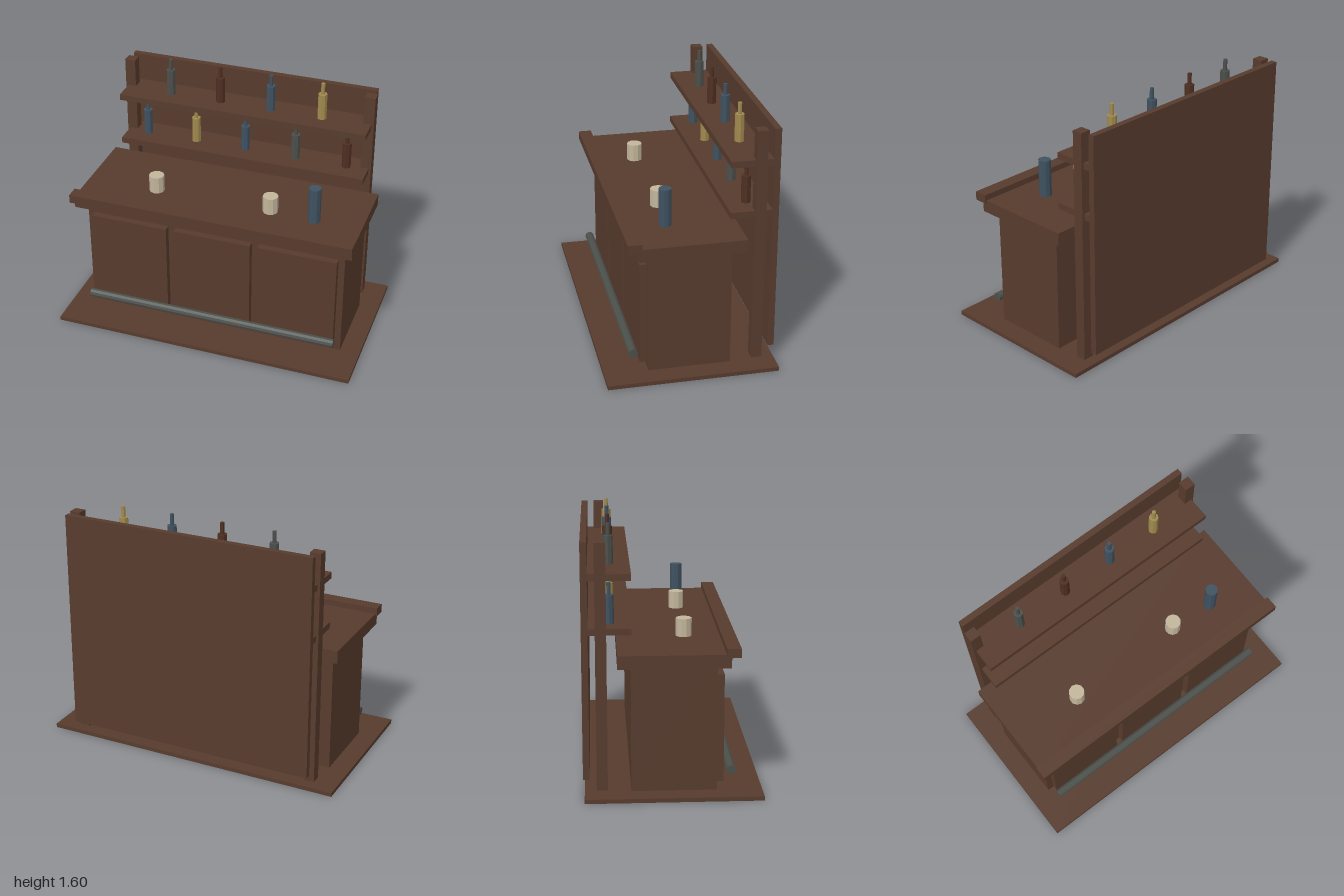
import * as THREE from 'three';

const material = (name, color) => {
  const m = new THREE.MeshStandardMaterial({ color, flatShading: true });
  m.name = name;
  return m;
};

export function createModel() {
  const bar = new THREE.Group();
  bar.name = 'barCounter';

  const wood = material('wood', 0x573b2d);
  const iron = material('iron', 0x4b4f4a);
  const blue = material('blueGlass', 0x3f5160);
  const gold = material('goldGlass', 0xa08a4e);
  const amber = material('brownGlass', 0x4e2f22);
  const cream = material('cream', 0xc2b59b);

  // Box given by its limits on each axis
  function box(name, [x0, x1], [y0, y1], [z0, z1]) {
    const mesh = new THREE.Mesh(new THREE.BoxGeometry(x1 - x0, y1 - y0, z1 - z0), wood);
    mesh.position.set((x0 + x1) / 2, (y0 + y1) / 2, (z0 + z1) / 2);
    mesh.name = name;
    bar.add(mesh);
  }

  // Upright cylinder standing on y
  function cylinder(name, mat, r, h, x, y, z, parent = bar, sides = 10) {
    const mesh = new THREE.Mesh(new THREE.CylinderGeometry(r, r, h, sides), mat);
    mesh.position.set(x, y + h / 2, z);
    mesh.name = name;
    parent.add(mesh);
    return mesh;
  }

  function bottle(mat, x, y) {
    const group = new THREE.Group();
    group.name = 'bottle';
    group.position.set(x, y, -0.373);
    cylinder('bottleBody', mat, 0.03, 0.175, 0, 0, 0, group, 8);
    cylinder('bottleNeck', mat, 0.013, 0.073, 0, 0.175, 0, group, 8);
    bar.add(group);
  }

  // Floor and counter
  box('floorBase', [-1, 1], [0, 0.026], [-0.53, 0.54]);
  box('counterBody', [-0.87, 0.87], [0.026, 0.8], [-0.25, 0.265]);
  box('counterTop', [-0.928, 0.928], [0.8, 0.882], [-0.33, 0.342]);
  box('armRail', [-0.938, 0.938], [0.864, 0.92], [0.312, 0.397]);
  for (const x of [-0.569, 0, 0.569])
    box('frontPanel', [x - 0.26, x + 0.26], [0.065, 0.735], [0.265, 0.31]);

  // Foot rail
  const rail = cylinder('footRail', iron, 0.029, 1.69, 0, 0, 0.354);
  rail.rotation.z = Math.PI / 2;
  rail.position.y = 0.141;

  // Back bar: panel, posts and shelves
  box('backPanel', [-0.837, 0.837], [0.09, 1.537], [-0.54, -0.5]);
  for (const s of [-1, 1])
    box('shelfPost', [s * 0.818 - 0.035, s * 0.818 + 0.035], [0.026, 1.537], [-0.458, -0.391]);
  for (const top of [1.024, 1.35])
    box('shelf', [-0.837, 0.837], [top - 0.04, top], [-0.5, -0.243]);

  // Bottles on both shelves
  [blue, gold, blue, iron, amber].forEach((m, i) => bottle(m, -0.692 + i * 0.346, 1.024));
  [iron, amber, blue, gold].forEach((m, i) => bottle(m, -0.52 + i * 0.345, 1.35));

  // Mugs and flask on the counter
  for (const x of [-0.452, 0.324]) cylinder('mug', cream, 0.05, 0.113, x, 0.882, 0.09);
  cylinder('flask', blue, 0.04, 0.242, 0.618, 0.882, 0.108);

  return bar;
}
